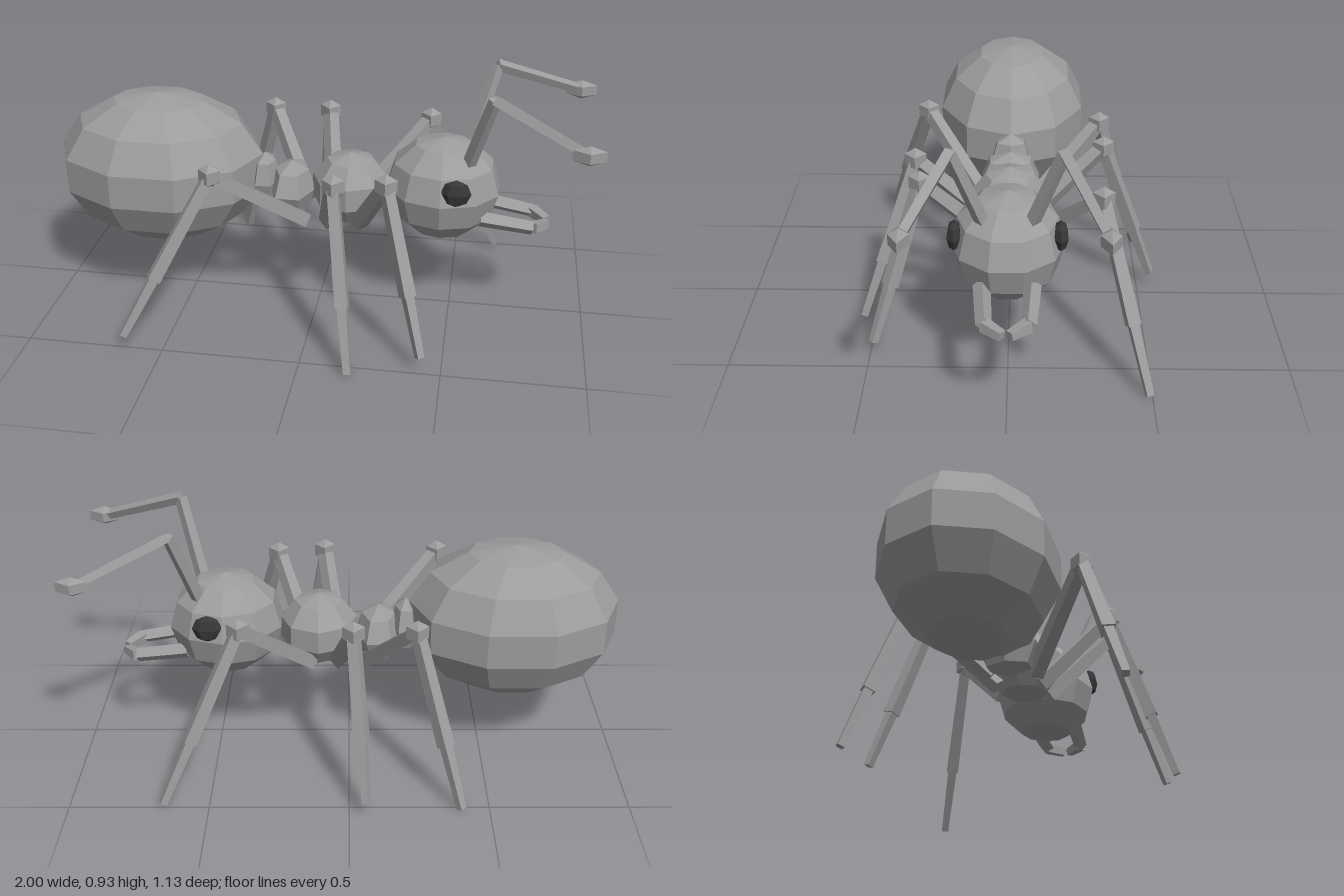
import * as THREE from 'three';

const shell = new THREE.MeshStandardMaterial({ color: 0x9c9c9c, flatShading: true });
shell.name = 'grey shell';
const eyeDark = new THREE.MeshStandardMaterial({ color: 0x383838, flatShading: true });
eyeDark.name = 'dark eye';

const UP = new THREE.Vector3(0, 1, 0);

// faceted ellipsoid
function blob(name, pos, radii, wSeg, hSeg, material = shell, turn = 0) {
  const geo = new THREE.SphereGeometry(1, wSeg, hSeg);
  geo.rotateY(turn);
  geo.scale(...radii);
  const mesh = new THREE.Mesh(geo, material);
  mesh.position.set(...pos);
  mesh.name = name;
  return mesh;
}

// four-sided tapered limb between two points
function limb(name, from, to, r0, r1) {
  const a = new THREE.Vector3(...from);
  const b = new THREE.Vector3(...to);
  const dir = b.clone().sub(a);
  const mesh = new THREE.Mesh(new THREE.CylinderGeometry(r1, r0, dir.length(), 4), shell);
  mesh.quaternion.setFromUnitVectors(UP, dir.normalize());
  mesh.position.copy(a).add(b).multiplyScalar(0.5);
  mesh.name = name;
  return mesh;
}

const mix = (a, b, t) => a.map((v, i) => v + (b[i] - v) * t);

// thigh, knee, shin and foot
function leg(name, hip, knee, foot) {
  const g = new THREE.Group();
  g.name = name;
  const ankle = mix(knee, foot, 0.64);
  g.add(
    limb('thigh', hip, knee, 0.036, 0.03),
    blob('knee', knee, [0.046, 0.045, 0.046], 4, 3),
    limb('shin', knee, ankle, 0.027, 0.032),
    limb('foot', mix(knee, foot, 0.6), foot, 0.024, 0.018)
  );
  return g;
}

export function createModel() {
  const ant = new THREE.Group();
  ant.name = 'ant';

  // body segments, rear to front
  ant.add(
    blob('abdomen', [-0.61, 0.515, 0], [0.4, 0.29, 0.306], 10, 7),
    blob('rearWaist', [-0.21, 0.48, 0], [0.055, 0.11, 0.085], 6, 4),
    blob('frontWaist', [-0.11, 0.45, 0], [0.09, 0.112, 0.127], 6, 4),
    blob('thorax', [0.113, 0.472, 0], [0.15, 0.138, 0.148], 8, 5),
    blob('head', [0.455, 0.5, 0], [0.215, 0.195, 0.198], 10, 6, shell, Math.PI / 10)
  );

  // mirrored head parts
  for (const s of [1, -1]) {
    const side = s > 0 ? 'right' : 'left';
    ant.add(blob(side + 'Eye', [0.51, 0.555, s * 0.178], [0.055, 0.052, 0.028], 6, 4, eyeDark));

    const antenna = new THREE.Group();
    antenna.name = side + 'Antenna';
    const elbow = [0.625, 0.915, s * 0.18];
    antenna.add(
      limb('antennaBase', [0.545, 0.62, s * 0.08], elbow, 0.026, 0.023),
      limb('antennaTip', elbow, [0.93, 0.795, s * 0.305], 0.023, 0.02),
      blob('antennaClub', [0.944, 0.79, s * 0.31], [0.064, 0.036, 0.037], 4, 3)
    );
    ant.add(antenna);

    const jaw = new THREE.Group();
    jaw.name = side + 'Jaw';
    const bend = [0.79, 0.387, s * 0.072];
    jaw.add(
      limb('jawBase', [0.6, 0.415, s * 0.085], bend, 0.03, 0.027),
      limb('jawTip', bend, [0.84, 0.38, s * 0.012], 0.027, 0.02)
    );
    ant.add(jaw);
  }

  // legs in mid stride: hip, knee, foot
  const legs = [
    ['leftRearLeg', [-0.06, 0.37, -0.08], [-0.235, 0.63, -0.34], [-0.4, 0.01, -0.515]],
    ['leftMiddleLeg', [0.04, 0.37, -0.08], [-0.015, 0.63, -0.345], [-0.06, 0.06, -0.55]],
    ['leftFrontLeg', [0.14, 0.37, -0.09], [0.385, 0.63, -0.325], [0.665, 0.015, -0.49]],
    ['rightRearLeg', [-0.05, 0.36, 0.08], [-0.343, 0.63, 0.325], [-0.64, 0.06, 0.51]],
    ['rightMiddleLeg', [0.04, 0.36, 0.08], [0.095, 0.63, 0.34], [0.18, 0.01, 0.55]],
    ['rightFrontLeg', [0.155, 0.36, 0.08], [0.275, 0.63, 0.31], [0.425, 0.06, 0.485]],
  ];
  for (const spec of legs) ant.add(leg(...spec));

  return ant;
}
